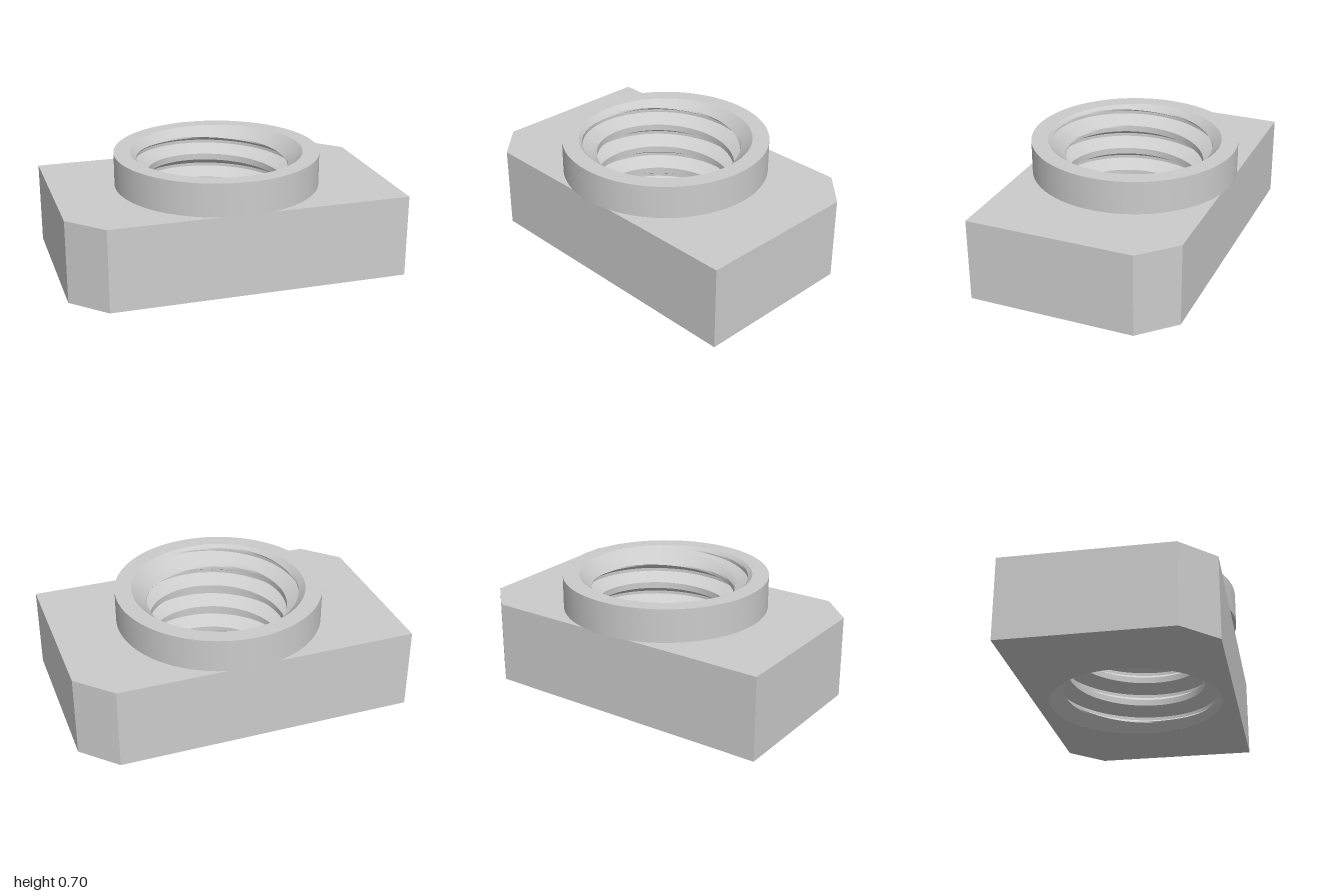
import * as THREE from 'three';
import { toCreasedNormals } from 'three/addons/utils/BufferGeometryUtils.js';

const HEIGHT = 0.7, BODY_H = 0.5;
const COLLAR_R = 0.62, MOUTH_R = 0.52;             // collar and countersink radii
const MINOR = 0.415, MAJOR = 0.5, PITCH = 0.157;   // internal thread
const GROOVE_Y = 0.68;                             // groove height at the front

// Thread radius from the distance to the groove centre, in pitches
function threadRadius(phase) {
  const d = Math.abs(phase - Math.round(phase));
  const t = THREE.MathUtils.clamp((d - 1 / 16) / (5 / 16), 0, 1);
  return THREE.MathUtils.lerp(MAJOR, MINOR, t);
}

// Right-handed threaded hole with a 45 degree countersink at each end
function threadedBore() {
  const around = 128, perTurn = 16;
  const first = -7 * perTurn, last = perTurn;
  const point = (i, k) => {
    const turn = i / around, a = turn * Math.PI * 2 - Math.PI / 2;
    const y = THREE.MathUtils.clamp(GROOVE_Y + (k / perTurn + turn) * PITCH, 0, HEIGHT);
    const phase = (y - GROOVE_Y) / PITCH - turn;
    const r = Math.max(threadRadius(phase), MOUTH_R - Math.min(y, HEIGHT - y));
    return new THREE.Vector3(r * Math.cos(a), y, -r * Math.sin(a));
  };
  const positions = [];
  const addTriangle = (a, b, c) => {
    if (new THREE.Triangle(a, b, c).getArea() < 1e-8) return;
    for (const p of [a, b, c]) positions.push(p.x, p.y, p.z);
  };
  for (let i = 0; i < around; i++) {
    for (let k = first; k < last; k++) {
      const a = point(i, k), b = point(i + 1, k);
      const c = point(i, k + 1), d = point(i + 1, k + 1);
      addTriangle(a, c, b);
      addTriangle(b, c, d);
    }
  }
  const geometry = new THREE.BufferGeometry();
  geometry.setAttribute('position', new THREE.Float32BufferAttribute(positions, 3));
  return toCreasedNormals(geometry, 0.4);
}

// Block with two opposite corners cut off and a round opening
function bodyGeometry() {
  // Shape y becomes -z once the extrusion is laid flat
  const outline = [[-0.8, -0.6], [1, -0.6], [1, 0.4], [0.8, 0.6], [-1, 0.6], [-1, -0.4]];
  const shape = new THREE.Shape(outline.map(([x, y]) => new THREE.Vector2(x, y)));
  shape.holes.push(new THREE.Path().absarc(0, 0, MOUTH_R, 0, Math.PI * 2, true));
  const geometry = new THREE.ExtrudeGeometry(shape, {
    depth: BODY_H, bevelEnabled: false, curveSegments: 128,
  });
  geometry.rotateX(-Math.PI / 2);
  return toCreasedNormals(geometry, 0.5);
}

// Raised ring, slightly wider than the block is deep
function collarGeometry() {
  const profile = [
    [MOUTH_R, BODY_H], [COLLAR_R, BODY_H], [COLLAR_R, HEIGHT], [MOUTH_R, HEIGHT],
  ].map(([r, y]) => new THREE.Vector2(r, y));
  return toCreasedNormals(new THREE.LatheGeometry(profile, 128), 0.5);
}

export function createModel() {
  const model = new THREE.Group();
  model.name = 'slotNut';
  const material = new THREE.MeshStandardMaterial({ color: 0xcccccc });
  const add = (name, geometry) => {
    const mesh = new THREE.Mesh(geometry, material);
    mesh.name = name;
    model.add(mesh);
  };
  add('body', bodyGeometry());
  add('collar', collarGeometry());
  add('threadedBore', threadedBore());
  return model;
}
